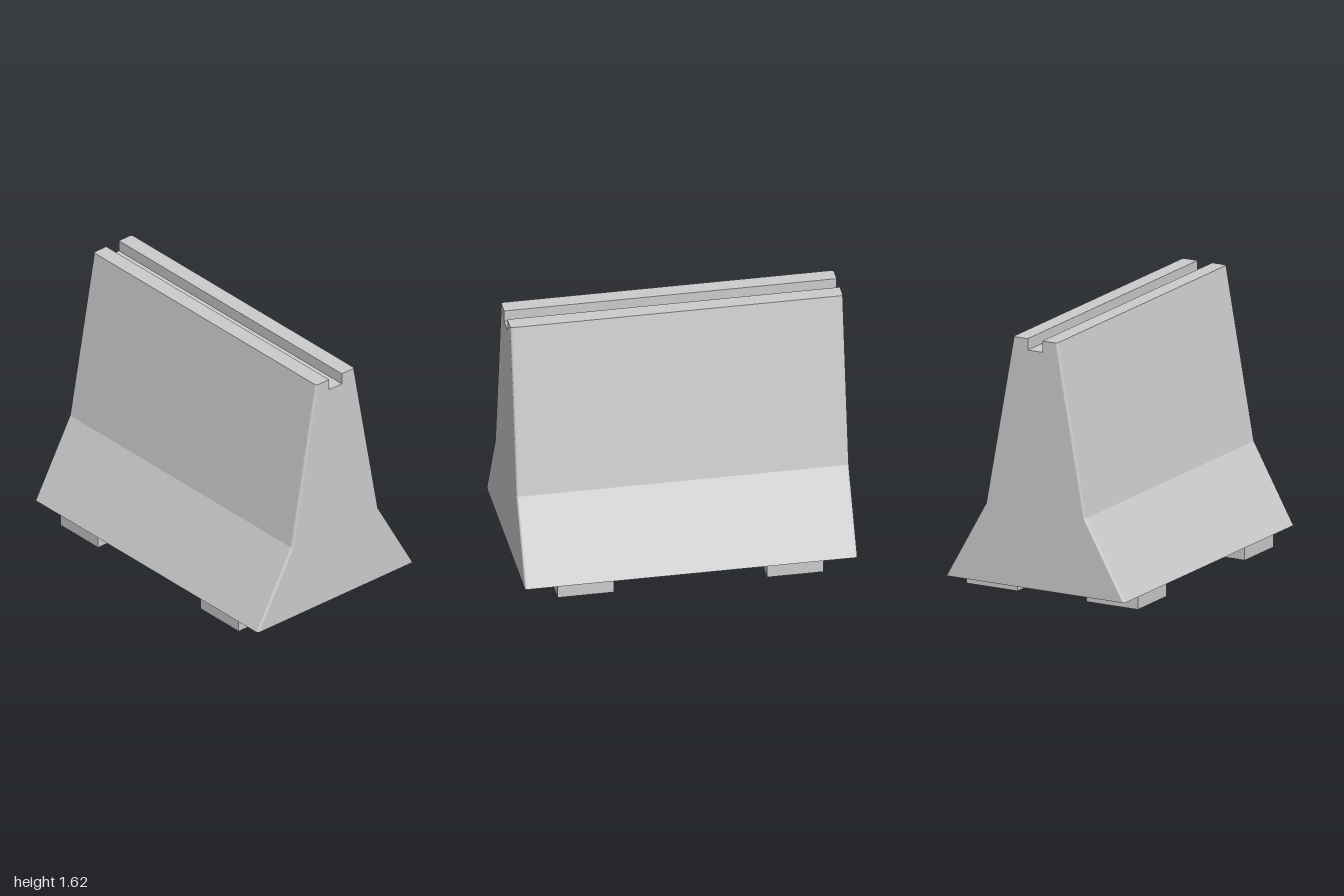
import * as THREE from 'three';

const material = new THREE.MeshStandardMaterial({ color: 0xcccccc });
const HALF = 1, BEVEL = 0.015, STEPS = 6;

// Barrier profile, counter-clockwise; only the outer slopes are inset by the end rounding
function profile(inset) {
  const right = [[0.61, 0.09], [0.34, 0.57], [0.15, 1.62]].map(([u, y]) => [u - inset, y]);
  right.push([0.05, 1.62], [0.05, 1.55]);
  const left = right.map(([u, y]) => [-u, y]).reverse();
  return [...right, ...left].map(([u, y]) => new THREE.Vector2(u, y));
}

// Profile swept along its length with rounded upright edges at both ends
function bodyGeometry() {
  const stations = [];
  for (let i = 0; i <= STEPS; i++) {
    const a = (i / STEPS) * Math.PI / 2;
    stations.push({ w: HALF - BEVEL * (1 - Math.sin(a)), inset: BEVEL * (1 - Math.cos(a)) });
  }
  const all = [...stations.map(s => ({ w: -s.w, inset: s.inset })).reverse(), ...stations];
  const rings = all.map(s => profile(s.inset).map(p => [p.x, p.y, s.w]));
  const pos = [];
  const tri = (...pts) => pts.forEach(p => pos.push(...p));
  const n = rings[0].length;
  for (let k = 0; k < rings.length - 1; k++) {
    for (let i = 0; i < n; i++) {
      const j = (i + 1) % n;
      const a = rings[k][i], b = rings[k][j], c = rings[k + 1][j], d = rings[k + 1][i];
      tri(a, b, c);
      tri(a, c, d);
    }
  }
  // End faces
  const first = rings[0], last = rings[rings.length - 1];
  for (const [a, b, c] of THREE.ShapeUtils.triangulateShape(profile(BEVEL), [])) {
    tri(last[a], last[b], last[c]);
    tri(first[c], first[b], first[a]);
  }
  const geo = new THREE.BufferGeometry();
  geo.setAttribute('position', new THREE.Float32BufferAttribute(pos, 3));
  geo.rotateY(Math.PI / 2);
  geo.computeVertexNormals();
  return geo;
}

export function createModel() {
  const group = new THREE.Group();
  group.name = 'concreteBarrier';

  const body = new THREE.Mesh(bodyGeometry(), material);
  body.name = 'barrierBody';
  group.add(body);

  // Four support feet
  const footGeo = new THREE.BoxGeometry(0.34, 0.09, 0.35);
  for (const sx of [1, -1]) {
    for (const sz of [1, -1]) {
      const foot = new THREE.Mesh(footGeo, material);
      foot.name = `${sz > 0 ? 'front' : 'back'}${sx > 0 ? 'Left' : 'Right'}Foot`;
      foot.position.set(sx * 0.63, 0.045, sz * 0.41);
      group.add(foot);
    }
  }
  return group;
}
